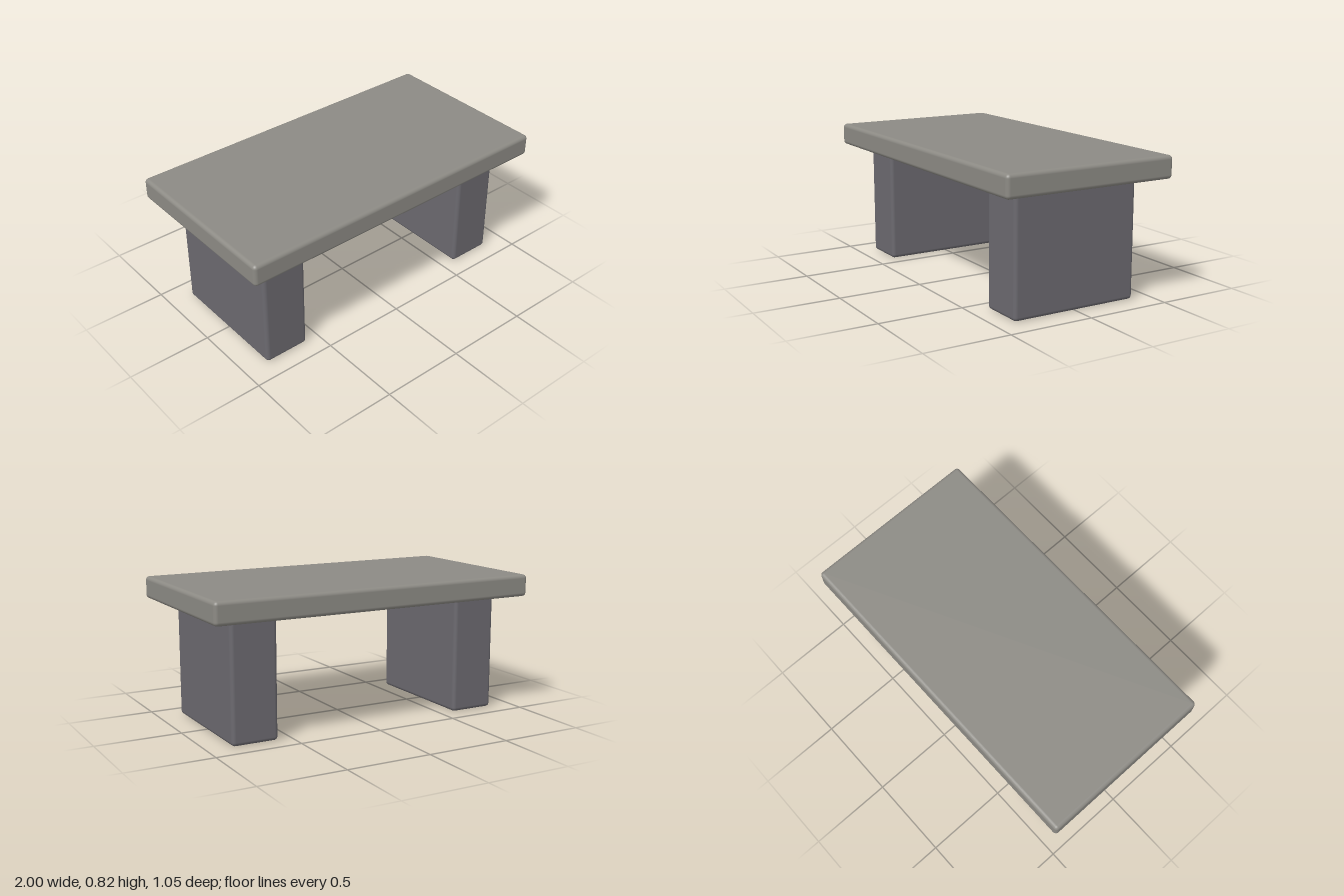
import * as THREE from 'three';
import { RoundedBoxGeometry } from 'three/addons/geometries/RoundedBoxGeometry.js';

export function createModel() {
  const group = new THREE.Group();
  const topMaterial = new THREE.MeshStandardMaterial({ color: 0x8c8a84 });
  const legMaterial = new THREE.MeshStandardMaterial({ color: 0x6b696f });

  const legHeight = 0.692;
  const topThickness = 0.13;
  const edgeRadius = 0.022;

  // Softly rounded block standing on height y
  function addBlock(name, width, height, depth, x, y, material) {
    const geometry = new RoundedBoxGeometry(width, height, depth, 4, edgeRadius);
    const mesh = new THREE.Mesh(geometry, material);
    mesh.name = name;
    mesh.position.set(x, y + height / 2, 0);
    group.add(mesh);
  }

  // Slab top
  addBlock('tableTop', 2, topThickness, 1.052, 0, legHeight, topMaterial);

  // Pair of block legs
  for (const side of [-1, 1]) {
    addBlock(side > 0 ? 'leftLeg' : 'rightLeg', 0.274, legHeight, 0.776, side * 0.72, 0, legMaterial);
  }

  group.name = 'slabTable';
  return group;
}
